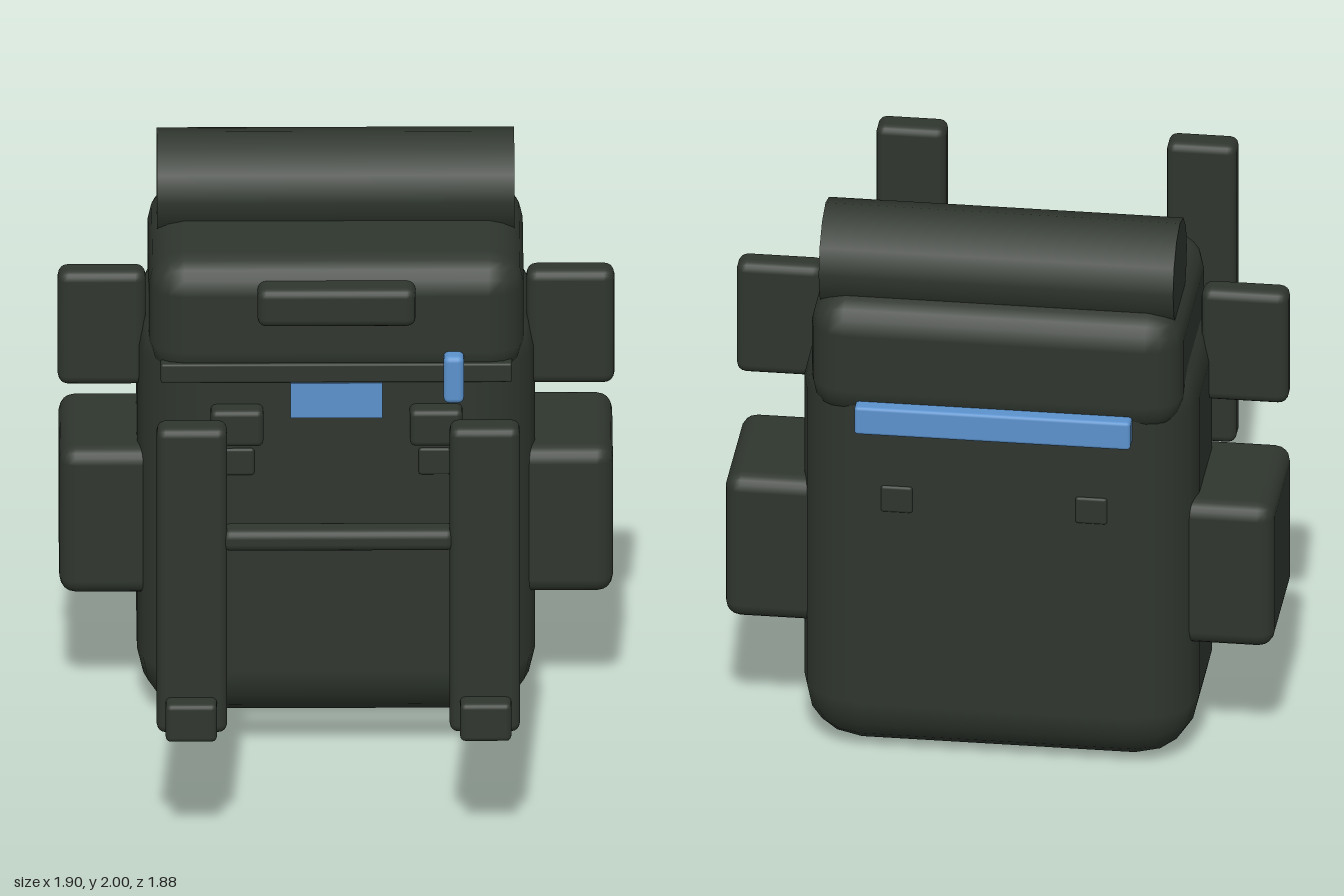
import * as THREE from 'three';
import { RoundedBoxGeometry } from 'three/addons/geometries/RoundedBoxGeometry.js';

const canvas = new THREE.MeshStandardMaterial({ color: 0x2f362e });
canvas.name = 'dark green canvas';
const blue = new THREE.MeshStandardMaterial({ color: 0x5b92cd });
blue.name = 'blue trim';

export function createModel() {
  const model = new THREE.Group();
  model.name = 'backpack';

  // Rounded box from its [min, max] extents on each axis
  function block(name, x, y, z, radius, material = canvas, segments = 2) {
    const size = [x, y, z].map(([a, b]) => b - a);
    const mesh = new THREE.Mesh(new RoundedBoxGeometry(...size, segments, radius), material);
    mesh.position.set((x[0] + x[1]) / 2, (y[0] + y[1]) / 2, (z[0] + z[1]) / 2);
    mesh.name = name;
    model.add(mesh);
  }

  // The same block on the left (+x) and right (-x)
  function pair(name, x, y, z, radius) {
    block(name + 'Left', x, y, z, radius);
    block(name + 'Right', [-x[1], -x[0]], y, z, radius);
  }

  // Main bag and its lid
  block('body', [-0.68, 0.68], [0, 1.56], [-0.885, -0.13], 0.21);
  block('lid', [-0.64, 0.64], [1.29, 1.74], [-0.9, -0.12], 0.12);
  block('lidPocket', [-0.27, 0.27], [1.535, 1.675], [-0.2, -0.045], 0.03);

  // Bedroll lying across the lid
  const roll = new THREE.Mesh(new THREE.CylinderGeometry(0.185, 0.185, 1.22, 12), canvas);
  roll.rotation.z = Math.PI / 2;
  // A corner of the twelve-sided section points straight up
  roll.position.set(0, 1.815, -0.65);
  roll.name = 'bedroll';
  model.add(roll);

  // Front straps, buckles and strap ends that pass through to the back
  block('lidStrap', [-0.6, 0.6], [1.3, 1.37], [-0.185, -0.115], 0.008);
  pair('buckle', [0.25, 0.43], [1.08, 1.215], [-0.16, -0.065], 0.02);
  pair('strapLoop', [0.28, 0.39], [0.95, 1.05], [-0.893, -0.122], 0.01);

  // Side pockets and flat side pouches
  pair('sidePocket', [0.6, 0.945], [0.44, 0.985], [-0.77, -0.25], 0.055);
  pair('sidePouch', [0.65, 0.95], [1.2, 1.625], [-0.415, -0.31], 0.035);

  // Detached shoulder harness
  pair('shoulderStrap', [0.38, 0.62], [0.43, 1.57], [0.76, 0.87], 0.03);
  pair('strapBuckle', [0.415, 0.59], [0.43, 0.57], [0.84, 0.94], 0.018);
  block('chestStrap', [-0.4, 0.4], [1.105, 1.185], [0.765, 0.86], 0.03);

  // Blue trim
  block('frontTab', [0.365, 0.435], [1.24, 1.415], [-0.15, -0.065], 0.02, blue);
  block('backBar', [-0.475, 0.475], [1.265, 1.37], [-0.94, -0.87], 0.012, blue);
  const panel = new THREE.Mesh(new THREE.BoxGeometry(0.315, 0.13, 0.009), blue);
  panel.position.set(0, 1.23, -0.128);
  panel.name = 'frontPanel';
  model.add(panel);

  return model;
}
